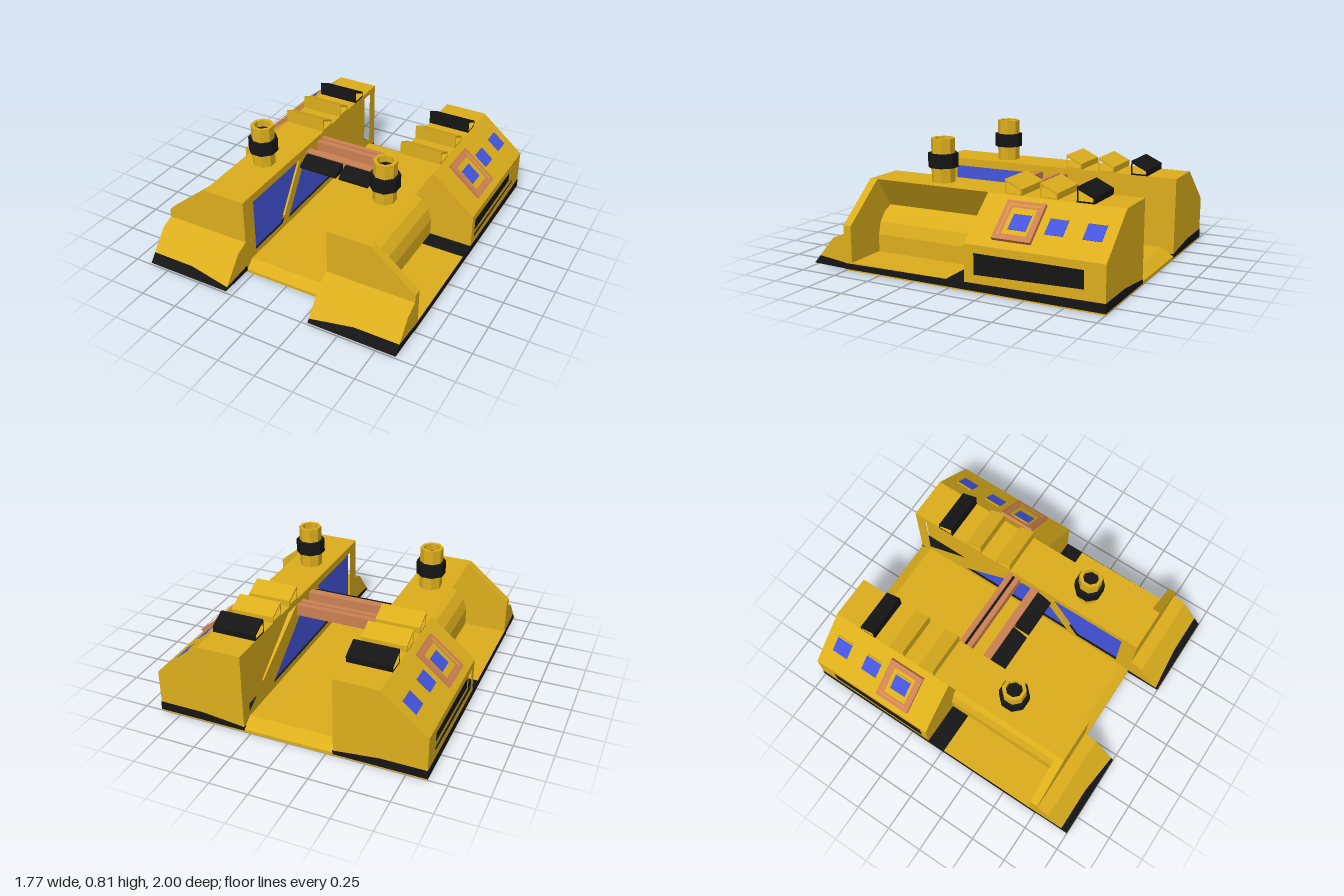
import * as THREE from 'three';

const paint = (color) => new THREE.MeshStandardMaterial({ color, flatShading: true });
const yellow = paint(0xdcae1c), black = paint(0x151515), copper = paint(0xcc8052), blue = paint(0x4455dd);

function outline(points, flip) {
  return points.map(([a, b]) => new THREE.Vector2(flip ? -a : a, b));
}

// Extrude an [x, y] section along z
function alongZ(points, z0, z1) {
  const g = new THREE.ExtrudeGeometry(new THREE.Shape(outline(points)), { depth: z1 - z0, bevelEnabled: false });
  return g.translate(0, 0, z0);
}

// Extrude a [z, y] profile along x, optionally with holes
function alongX(points, x0, x1, holes = []) {
  const shape = new THREE.Shape(outline(points, true));
  holes.forEach((h) => shape.holes.push(new THREE.Path(outline(h, true))));
  const g = new THREE.ExtrudeGeometry(shape, { depth: x1 - x0, bevelEnabled: false });
  return g.rotateY(Math.PI / 2).translate(x0, 0, 0);
}

function box(x0, x1, y0, y1, z0, z1) {
  return new THREE.BoxGeometry(x1 - x0, y1 - y0, z1 - z0)
    .translate((x0 + x1) / 2, (y0 + y1) / 2, (z0 + z1) / 2);
}

// Skin convex [z, y] rings placed at successive x, with end caps
function loft(xs, rings) {
  const pos = [], n = rings[0].length;
  const p = (j, i) => [xs[j], rings[j][i % n][1], rings[j][i % n][0]];
  for (let j = 0; j < xs.length - 1; j++) {
    for (let i = 0; i < n; i++) {
      const a = p(j, i), b = p(j, i + 1), c = p(j + 1, i + 1), d = p(j + 1, i);
      pos.push(...a, ...d, ...c, ...a, ...c, ...b);
    }
  }
  const e = xs.length - 1;
  for (let i = 1; i < n - 1; i++) {
    pos.push(...p(0, 0), ...p(0, i), ...p(0, i + 1), ...p(e, 0), ...p(e, i + 1), ...p(e, i));
  }
  const g = new THREE.BufferGeometry();
  g.setAttribute('position', new THREE.Float32BufferAttribute(pos, 3));
  g.computeVertexNormals();
  return g;
}

// Mirror a geometry in x and restore its winding
function mirrored(geometry) {
  const g = geometry.index ? geometry.toNonIndexed() : geometry.clone();
  g.scale(-1, 1, 1);
  const a = g.attributes.position;
  for (let i = 0; i < a.count; i += 3) {
    const q = [a.getX(i + 1), a.getY(i + 1), a.getZ(i + 1)];
    a.setXYZ(i + 1, a.getX(i + 2), a.getY(i + 2), a.getZ(i + 2));
    a.setXYZ(i + 2, ...q);
  }
  g.computeVertexNormals();
  return g;
}

export function createModel() {
  const model = new THREE.Group();
  const add = (name, geometry, material) => {
    const mesh = new THREE.Mesh(geometry, material);
    mesh.name = name;
    model.add(mesh);
  };
  const pair = (name, geometry, material) => {
    add(name + 'Left', geometry, material);
    add(name + 'Right', mirrored(geometry), material);
  };

  // Underside and central floor
  add('underside', box(-0.88, 0.88, 0, 0.01, -1, 0.76), yellow);
  add('floor', alongX([[-1, 0.005], [0.76, 0.005], [0.76, 0.02], [0.7, 0.07], [-0.92, 0.07], [-1, 0.02]], -0.295, 0.295), yellow);

  // Black skirt, getting lower towards the front
  const skirt = alongZ([[0.292, 0.01], [0.883, 0.01], [0.883, 0.067], [0.585, 0.067], [0.292, 0.035]], -1, 0.76);
  const sp = skirt.attributes.position;
  for (let i = 0; i < sp.count; i++) {
    if (sp.getY(i) > 0.02 && sp.getZ(i) > 0) sp.setY(i, sp.getY(i) * 0.69);
    if (sp.getZ(i) < -0.9) sp.setZ(i, -1.002);
  }
  pair('skirt', skirt, black);

  // Front fenders: black toe below, yellow hood above
  const toe = [0.035, 0.07, 0.07].map((y) => [1 - (y - 0.015) * 0.838, y]);
  const fx = [0.295, 0.585, 0.88];
  pair('fenderToe', loft(fx, toe.map((t) => [[1, 0.015], t, [0.76, 0.05], [0.76, 0.01]])), black);
  pair('fender', loft(fx, toe.map((t) => [t, [0.845, 0.2], [0.76, 0.235], [0.76, 0.05]])), yellow);

  // Rear cabins and the bulkheads at the front
  pair('rearCabin', alongZ([[0.38, 0.02], [0.85, 0.02], [0.85, 0.29], [0.88, 0.29], [0.585, 0.535], [0.38, 0.535]], -1, -0.11), yellow);
  pair('frontBulkhead', alongZ([[0.38, 0.02], [0.88, 0.02], [0.88, 0.29], [0.585, 0.535], [0.38, 0.535]], 0.705, 0.76), yellow);

  // Side panels with a dark slot
  const slot = [[-0.16, 0.1], [-0.16, 0.24], [-0.87, 0.24], [-0.87, 0.12]];
  pair('sidePanel', alongX([[-1, 0.02], [-0.11, 0.02], [-0.11, 0.29], [-1, 0.29]], 0.85, 0.88, [slot]), yellow);
  pair('sideSlot', alongX(slot, 0.84, 0.856), black);

  // Side bay: low deck, rounded tank and overhanging roof
  pair('sideDeck', box(0.38, 0.88, 0.02, 0.055, -0.11, 0.705), yellow);
  pair('sideTank', alongZ([[0.38, 0.05], [0.59, 0.05], [0.59, 0.17], [0.565, 0.25], [0.515, 0.31], [0.45, 0.34],
    [0.585, 0.535], [0.38, 0.535]], -0.11, 0.705), yellow);

  // Inner walls with two windows and a triangular rear recess
  const frontPane = [[0.65, 0.11], [0.65, 0.48], [0.09, 0.48], [0.33, 0.11]];
  const rearPane = [[0.25, 0.11], [0.03, 0.45], [-0.12, 0.45], [-0.6, 0.11]];
  const recess = [[-0.92, 0.1], [-0.24, 0.5], [-0.92, 0.5]];
  pair('innerWall', alongX([[-1, 0.02], [0.76, 0.02], [0.76, 0.535], [-1, 0.535]], 0.295, 0.38,
    [frontPane, rearPane, recess]), yellow);
  pair('innerFrontWindow', alongX(frontPane, 0.31, 0.33), blue);
  pair('innerRearWindow', alongX(rearPane, 0.31, 0.33), blue);

  // Sloped cabin windows; local x runs down the slope and y points out of it
  const onSlope = (g, z) => g.rotateZ(Math.atan2(-0.245, 0.295)).translate(0.7325, 0.4125, z);
  [-0.4, -0.635, -0.87].forEach((z, i) => {
    pair('cabinWindow' + (i + 1), onSlope(box(-0.055, 0.055, -0.02, 0.003, -0.058, 0.058), z), blue);
    pair('windowLip' + (i + 1), onSlope(box(-0.066, -0.055, -0.02, 0.006, -0.058, 0.058), z), yellow);
  });
  const ring = (name, hx, hz, w, h) => {
    const rect = (x, z) => [[-z, -x], [z, -x], [z, x], [-z, x]];
    const g = alongX(rect(hx, hz), 0, h, [rect(hx - w, hz - w)]).rotateZ(Math.PI / 2);
    pair(name, onSlope(g, -0.4), copper);
  };
  ring('hatchFrameOuter', 0.14, 0.125, 0.026, 0.022);
  ring('hatchFrameInner', 0.115, 0.1, 0.02, 0.012);

  // Hollow roof scoops, the last one black
  for (let i = 0; i < 3; i++) {
    const z = -0.225 - i * 0.233;
    const shell = [[z, 0.533], [z, 0.628], [z - 0.112, 0.575], [z - 0.112, 0.533]];
    const hollow = [[z - 0.01, 0.545], [z - 0.01, 0.609], [z - 0.102, 0.567], [z - 0.102, 0.545]];
    pair('roofScoop' + (i + 1), alongX(shell, 0.295, 0.585, [hollow]), i === 2 ? black : yellow);
  }

  // Octagonal stacks with black collars
  const lathe = (pts) => new THREE.LatheGeometry(outline(pts), 8, Math.PI / 8).translate(0.44, 0, 0.295);
  pair('stack', lathe([[0.076, 0.53], [0.076, 0.815], [0.054, 0.815], [0.054, 0.74]]), yellow);
  pair('stackBore', lathe([[0.055, 0.77], [0, 0.77]]), black);
  pair('stackCollar', lathe([[0.07, 0.63], [0.097, 0.63], [0.097, 0.72], [0.07, 0.72]]), black);

  // Cross bridge: copper beams with dark louvres
  add('bridgeFrontBeam', box(-0.295, 0.295, 0.415, 0.497, -0.05, 0.005), copper);
  pair('bridgeLouvre', alongX([[0, 0.43], [0.11, 0.43], [0.11, 0.445], [0.03, 0.487], [0, 0.487]], 0.012, 0.283), black);
  add('bridgeRearBeamA', box(-0.295, 0.295, 0.42, 0.497, -0.235, -0.2), copper);
  add('bridgeRearBeamB', box(-0.295, 0.295, 0.42, 0.497, -0.18, -0.145), copper);
  add('bridgeGap', box(-0.295, 0.295, 0.425, 0.48, -0.2, -0.18), black);

  return model;
}
